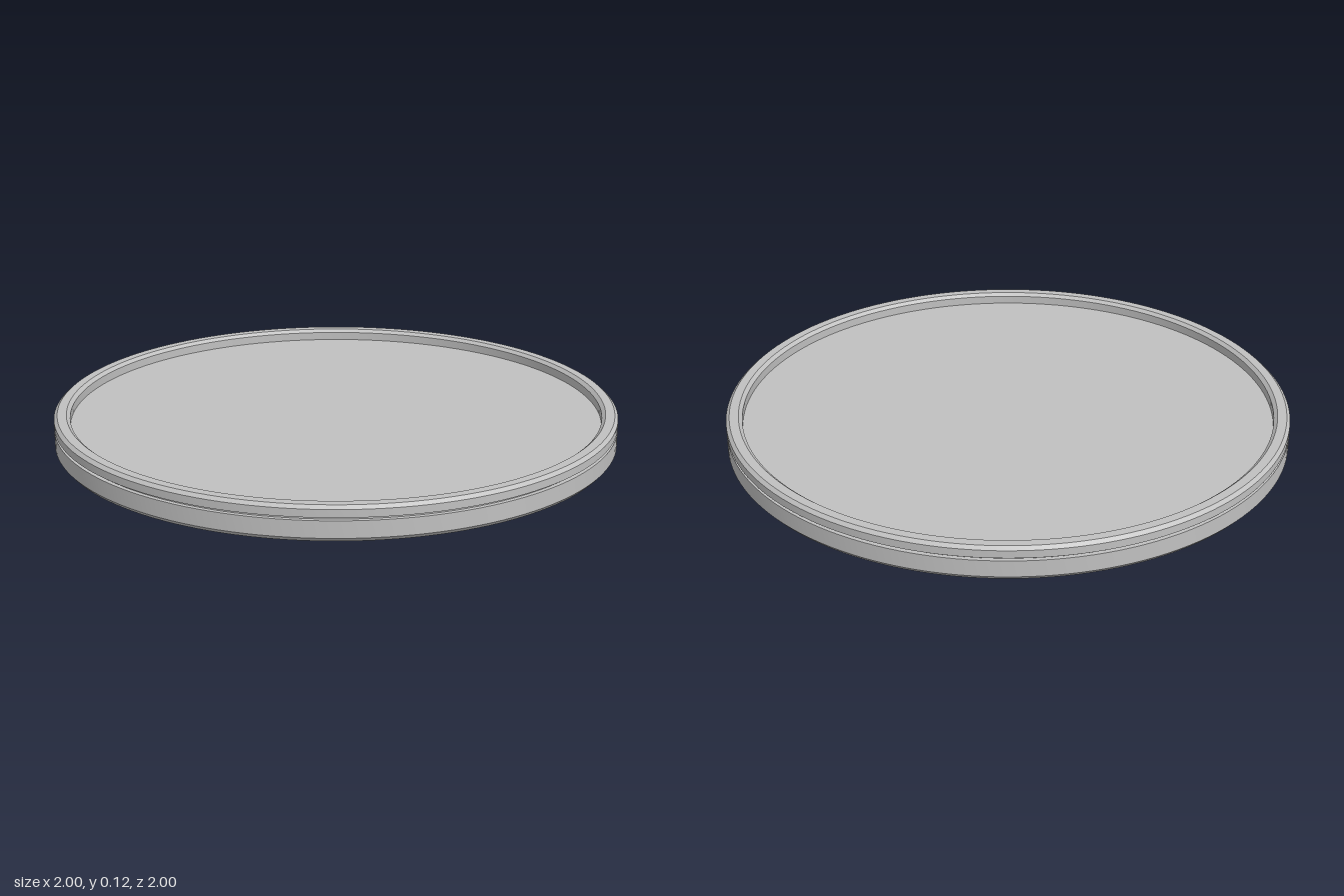
import * as THREE from 'three';
import { toCreasedNormals } from 'three/addons/utils/BufferGeometryUtils.js';

export function createModel() {
  const group = new THREE.Group();
  group.name = 'roundBase';
  const grey = new THREE.MeshStandardMaterial({ color: 0xc0c0c0 });
  grey.name = 'plain grey';

  // Turned part; the profile runs from the underside, up the outside, to the top
  function turned(name, profile) {
    const points = profile.map(([r, y]) => new THREE.Vector2(r, y));
    const geometry = toCreasedNormals(new THREE.LatheGeometry(points, 144), Math.PI / 7);
    const mesh = new THREE.Mesh(geometry, grey);
    mesh.name = name;
    group.add(mesh);
  }

  // Underside with round recess
  turned('underside', [[0, 0.03], [0.5, 0.03], [0.5, 0], [0.988, 0]]);
  // Lower body with chamfered foot, up to the groove ledge
  turned('lowerBody', [[0.988, 0], [1, 0.014], [1, 0.072], [0.985, 0.072]]);
  // Narrow groove around the side
  turned('groove', [[0.985, 0.072], [0.985, 0.082]]);
  // Raised rim with chamfers on both edges
  turned('rim', [
    [0.985, 0.082], [1, 0.082], [1, 0.109], [0.988, 0.12],
    [0.956, 0.12], [0.943, 0.109], [0.943, 0.079],
  ]);
  // Sunken top plate
  turned('topPlate', [[0.943, 0.079], [0, 0.079]]);

  return group;
}
